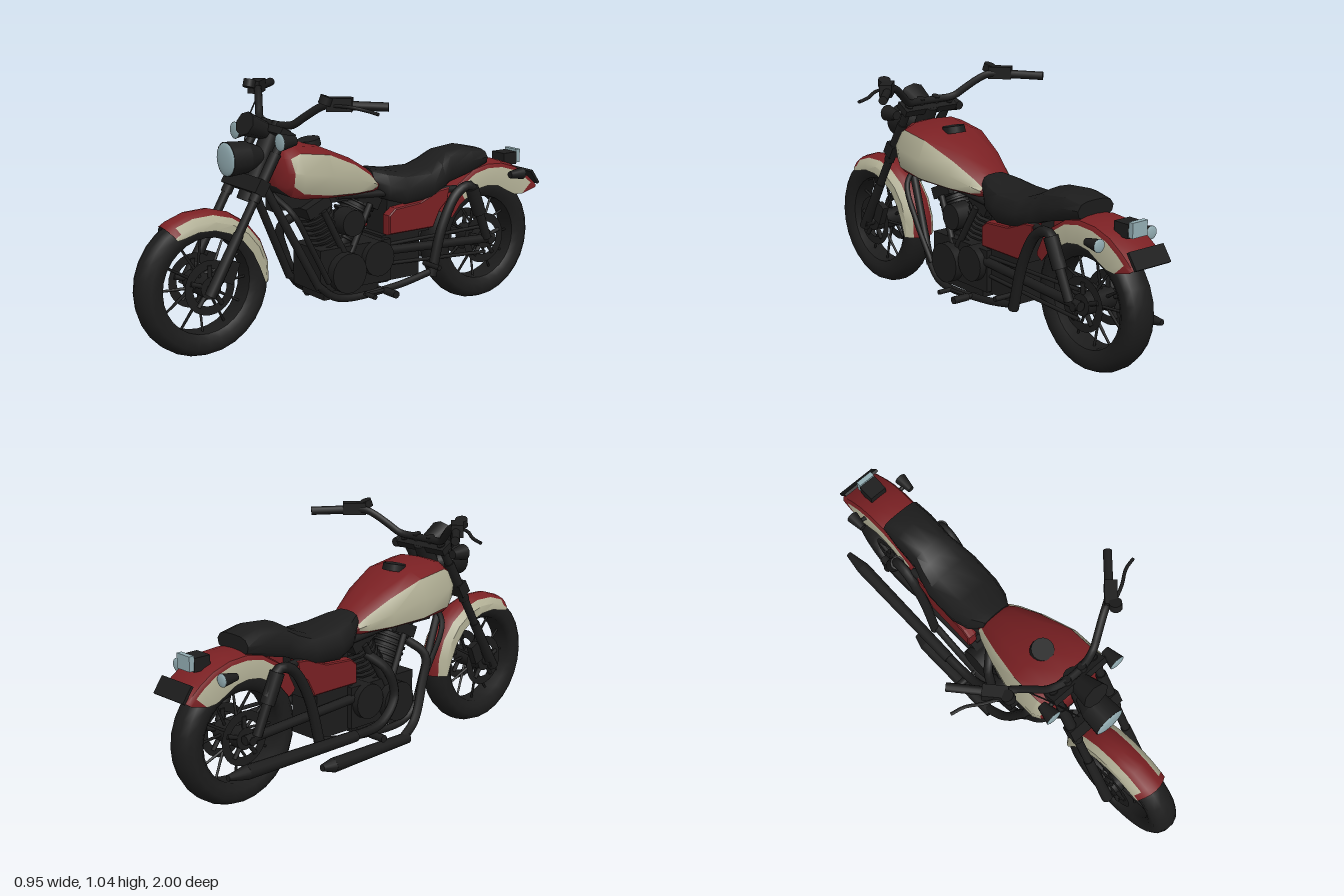
import * as THREE from 'three';
import { toCreasedNormals } from 'three/addons/utils/BufferGeometryUtils.js';

const mat = (name, color, side = THREE.FrontSide) => {
  const m = new THREE.MeshStandardMaterial({ color, side });
  m.name = name;
  return m;
};
const V = (p) => new THREE.Vector3(...p);

export function createModel() {
  const black = mat('black', 0x1c1c1c, THREE.DoubleSide);
  const red = mat('red', 0x7a2023);
  const cream = mat('cream', 0xb0ae94);
  const glass = mat('glass', 0x94aeb4);
  const root = new THREE.Group();
  root.name = 'motorcycle';

  const add = (name, geo, material, pos = [0, 0, 0], parent = root) => {
    const m = new THREE.Mesh(geo, material);
    m.name = name;
    m.position.set(...pos);
    parent.add(m);
    return m;
  };
  const box = (name, size, pos, material = black, rx = 0) => {
    const m = add(name, new THREE.BoxGeometry(...size), material, pos);
    m.rotation.x = rx;
    return m;
  };
  // straight bar from p (radius r1) to q (radius r2)
  const rod = (name, p, q, r1, r2 = r1, material = black, seg = 12, parent = root) => {
    const a = V(p), d = V(q).sub(a);
    const m = add(name, new THREE.CylinderGeometry(r2, r1, d.length(), seg), material, [0, 0, 0], parent);
    m.position.copy(a).addScaledVector(d, 0.5);
    m.quaternion.setFromUnitVectors(V([0, 1, 0]), d.normalize());
    return m;
  };
  const tube = (name, pts, r, seg = 24) => add(name,
    new THREE.TubeGeometry(new THREE.CatmullRomCurve3(pts.map(V)), seg, r, 8), black);
  // shallow domed lens facing +z (dir 1) or -z (dir -1)
  const dome = (name, pos, r, depth, dir) => {
    const m = add(name, new THREE.SphereGeometry(r, 18, 6, 0, Math.PI * 2, 0, Math.PI / 2), glass, pos);
    m.scale.y = depth / r;
    m.rotation.x = dir * Math.PI / 2;
  };
  const both = (fn) => [1, -1].forEach(fn);

  // skin rings running front to back; mats chosen per face by pick(i, j)
  const loft = (name, rings, closed, mats, pick = () => 0) => {
    const n = rings[0].length, lists = mats.map(() => []);
    for (let i = 0; i < rings.length - 1; i++) {
      for (let j = 0; j < (closed ? n : n - 1); j++) {
        const a = i * n + j, b = i * n + (j + 1) % n, c = b + n, d = a + n;
        lists[pick(i, j)].push(a, b, d, b, c, d);
      }
    }
    if (closed) {
      const e = (rings.length - 1) * n;
      for (let j = 1; j < n - 1; j++) lists[0].push(0, j + 1, j, e, e + j, e + j + 1);
    }
    const g = new THREE.BufferGeometry();
    g.setAttribute('position', new THREE.Float32BufferAttribute(rings.flat(2), 3));
    g.setIndex(lists.flat());
    let start = 0;
    lists.forEach((l, k) => { g.addGroup(start, l.length, k); start += l.length; });
    return add(name, toCreasedNormals(g, 0.75), mats);
  };
  // rounded closed section; hi and lo are the heights of the side panel edges
  const ring = ([z, w, top, bot, hi = 0.84, lo = 0.14]) => {
    const half = [[0, 1], [0.5, 0.97], [0.82, hi], [1, (hi + lo) / 2], [0.95, lo], [0.82, 0], [0, 0]];
    return [...half, ...half.slice(1, -1).reverse().map(([x, y]) => [-x, y])]
      .map(([x, y]) => [x * w, bot + y * (top - bot), z]);
  };

  // wheels: tyre, spokes, hub, discs
  const wheel = (name, z, r, w) => {
    const g = new THREE.Group();
    g.name = name;
    g.position.set(0, r + 0.004, z);
    root.add(g);
    const prof = [[r - 0.095, -0.7], [r - 0.07, -0.95], [r - 0.035, -1], [r - 0.012, -0.72], [r, -0.25],
      [r, 0.25], [r - 0.012, 0.72], [r - 0.035, 1], [r - 0.07, 0.95], [r - 0.095, 0.7], [r - 0.095, -0.7]];
    const t = add('tyre', new THREE.LatheGeometry(prof.map(([a, b]) => new THREE.Vector2(a, b * w)), 28), black, [0, 0, 0], g);
    t.rotation.z = Math.PI / 2;
    rod('hub', [-0.075, 0, 0], [0.075, 0, 0], 0.045, 0.045, black, 16, g);
    rod('axle', [-0.12, 0, 0], [0.12, 0, 0], 0.018, 0.018, black, 10, g);
    for (let i = 0; i < 12; i++) {
      const a = i * Math.PI / 6, s = Math.sin(a), c = Math.cos(a);
      rod('spoke', [(i % 2 ? 0.03 : -0.03), 0.03 * c, 0.03 * s], [0, (r - 0.09) * c, (r - 0.09) * s], 0.007, 0.005, black, 6, g);
    }
    both((s) => {
      const disc = add('brakeDisc', new THREE.RingGeometry(0.075, 0.112, 28), black, [s * 0.066, 0, 0], g);
      disc.rotation.y = Math.PI / 2;
      for (let i = 0; i < 5; i++) {
        const a = i * Math.PI * 0.4;
        rod('discArm', [s * 0.066, 0, 0], [s * 0.066, 0.09 * Math.cos(a), 0.09 * Math.sin(a)], 0.01, 0.01, black, 6, g);
      }
    });
  };
  wheel('frontWheel', 0.71, 0.29, 0.062);
  wheel('rearWheel', -0.693, 0.281, 0.068);

  // fenders: painted arch with a black lining; station = [degrees from top, radius, side depth]
  const fender = (name, cy, cz, w, edges, stations, pick) => {
    const rings = (inset) => stations.map(([deg, r, d]) => {
      const a = deg * Math.PI / 180;
      const side = [[1, d], ...edges.map(([x, o]) => [x, Math.min(o, d * 0.8) + inset])];
      return [...side.map(([x, o]) => [-x, o]), [0, inset], ...side.reverse()]
        .map(([x, o]) => [x * (w - inset), cy + (r - o) * Math.cos(a), cz + (r - o) * Math.sin(a)]);
    });
    loft(name, rings(0), false, [red, cream], pick);
    loft(name + 'Lining', rings(0.004), false, [black]);
  };
  fender('frontFender', 0.294, 0.71, 0.077, [[0.97, 0.042], [0.64, 0.018], [0.35, 0.005]],
    [[34, 0.307, 0.055], [28, 0.307, 0.065], [12, 0.305, 0.07], [-6, 0.303, 0.075], [-24, 0.302, 0.078],
      [-42, 0.302, 0.078], [-60, 0.302, 0.078], [-78, 0.302, 0.072], [-94, 0.3, 0.05]],
    (i, j) => ([0, 7].includes(j) || (i > 0 && [1, 6].includes(j)) ? 1 : 0));
  fender('rearFender', 0.285, -0.69, 0.096, [[1, 0.028], [0.9, 0.012], [0.5, 0.003]],
    [[58, 0.3, 0.06], [42, 0.32, 0.08], [34, 0.328, 0.09], [14, 0.344, 0.1], [0, 0.35, 0.105], [-14, 0.355, 0.112],
      [-28, 0.36, 0.125], [-40, 0.362, 0.12], [-48, 0.366, 0.095], [-54, 0.372, 0.03]],
    (i, j) => (i > 1 && i < 8 && [0, 7].includes(j) ? 1 : 0));

  // fuel tank, with teardrop cream side panels and a black underside
  loft('fuelTank', [[0.41, 0.1, 0.785, 0.66], [0.395, 0.15, 0.805, 0.64], [0.378, 0.175, 0.817, 0.624, 0.8, 0.24],
    [0.34, 0.189, 0.827, 0.613, 0.86, 0.12], [0.2, 0.186, 0.805, 0.6, 0.86, 0.07], [0.05, 0.147, 0.74, 0.588, 0.82, 0.07],
    [-0.05, 0.11, 0.68, 0.583, 0.72, 0.1], [-0.09, 0.088, 0.65, 0.58, 0.55, 0.25], [-0.12, 0.065, 0.62, 0.58]].map(ring), true, [red, cream, black],
  (i, j) => ([5, 6].includes(j) ? 2 : i > 1 && i < 7 && [2, 3, 8, 9].includes(j) ? 1 : 0));
  rod('fuelCap', [0, 0.79, 0.195], [0, 0.819, 0.2], 0.05, 0.047, black, 16);

  // two-step seat
  loft('seat', [[-0.08, 0.07, 0.67, 0.6], [-0.14, 0.108, 0.662, 0.535], [-0.22, 0.128, 0.647, 0.51], [-0.36, 0.13, 0.643, 0.52],
    [-0.43, 0.115, 0.67, 0.545], [-0.48, 0.1, 0.7, 0.57], [-0.6, 0.1, 0.71, 0.6], [-0.685, 0.092, 0.69, 0.625]].map(ring), true, [black]);

  // side covers sweeping up under the seat
  const cover = new THREE.Shape([[0.135, 0.395], [0.135, 0.47], [0.165, 0.495], [0.3, 0.505], [0.4, 0.545], [0.45, 0.55],
    [0.44, 0.5], [0.4, 0.465], [0.365, 0.395]].map(([a, b]) => new THREE.Vector2(a, b)));
  both((s) => {
    const g = new THREE.ExtrudeGeometry(cover, { depth: 0.02, bevelSize: 0.007, bevelThickness: 0.014, bevelSegments: 2 });
    const m = add('sideCover', g, red, [s > 0 ? 0.08 : -0.1, 0, 0]);
    m.rotation.y = Math.PI / 2;
  });
  box('batteryBox', [0.15, 0.18, 0.23], [0, 0.46, -0.26]);

  // forks and clamps
  const forkZ = (y) => 0.715 - (y - 0.3) * 0.583;
  both((s) => {
    rod('forkTube', [s * 0.105, 0.3, 0.715], [s * 0.105, 0.89, forkZ(0.89)], 0.018);
    rod('forkLower', [s * 0.105, 0.27, forkZ(0.27)], [s * 0.105, 0.5, forkZ(0.5)], 0.024, 0.021);
    rod('forkCover', [s * 0.105, 0.62, forkZ(0.62)], [s * 0.105, 0.8, forkZ(0.8)], 0.023);
    box('caliper', [0.03, 0.09, 0.05], [s * 0.085, 0.35, 0.63], black, -0.4);
  });
  box('lowerClamp', [0.26, 0.06, 0.05], [0, 0.675, 0.5], black, -0.53);
  box('upperClamp', [0.27, 0.03, 0.07], [0, 0.875, 0.385], black, -0.53);
  rod('steeringNeck', [0, 0.6, 0.5], [0, 0.88, 0.37], 0.04);

  // headlight, gauge and indicators
  rod('headlightShell', [0, 0.778, 0.588], [0, 0.778, 0.5], 0.07, 0.064, black, 20);
  rod('headlightBack', [0, 0.778, 0.5], [0, 0.778, 0.42], 0.064, 0.03, black, 20);
  dome('headlightLens', [0, 0.778, 0.588], 0.067, 0.012, 1);
  const gauge = rod('gauge', [0, 0.875, 0.41], [0, 0.912, 0.5], 0.045, 0.062, black, 8);
  gauge.scale.z = 0.8;
  const indicator = (name, x, y, z, r, dir) => {
    rod(name + 'Shell', [x, y, z - dir * 0.04], [x, y, z + dir * 0.03], r * 0.55, r, black, 14);
    dome(name + 'Lens', [x, y, z + dir * 0.03], r, 0.007, dir);
  };
  both((s) => {
    indicator('frontIndicator', s * 0.168, 0.855, 0.415, 0.035, 1);
    rod('frontIndicatorStem', [s * 0.1, 0.865, 0.39], [s * 0.168, 0.855, 0.405], 0.01);
    indicator('rearIndicator', s * 0.135, 0.572, -0.82, 0.027, -1);
    rod('rearIndicatorStem', [s * 0.08, 0.562, -0.81], [s * 0.135, 0.572, -0.815], 0.009);
  });

  // tail light and plate
  box('tailLight', [0.08, 0.055, 0.075], [0, 0.62, -0.865]);
  box('tailLens', [0.076, 0.06, 0.022], [0, 0.628, -0.913], glass);
  box('plate', [0.18, 0.012, 0.075], [0, 0.532, -0.974], black, -0.95);

  // handlebar, grips, controls and levers
  const bar = [[0.05, 0.9, 0.375], [0.12, 0.908, 0.355], [0.165, 0.942, 0.33], [0.215, 0.98, 0.3], [0.25, 0.998, 0.28], [0.3, 1, 0.25]];
  tube('handlebar', [...bar.map(([x, y, z]) => [-x, y, z]).reverse(), ...bar], 0.016, 40);
  both((s) => {
    rod('riser', [s * 0.04, 0.87, 0.39], [s * 0.04, 0.915, 0.375], 0.018);
    rod('grip', [s * 0.29, 1, 0.258], [s * 0.42, 0.995, 0.11], 0.018);
    const c = box('switchBox', [0.1, 0.052, 0.05], [s * 0.3, 1.004, 0.255]);
    c.rotation.y = s * 0.83;
    rod('reservoir', [s * 0.275, 1.005, 0.31], [s * 0.28, 1.036, 0.3], 0.026);
    tube('lever', [[s * 0.285, 1.0, 0.29], [s * 0.36, 1.0, 0.255], [s * 0.42, 0.99, 0.215], [s * 0.475, 0.982, 0.2]], 0.007, 10);
  });
  tube('brakeLine', [[-0.2, 0.97, 0.32], [-0.14, 0.89, 0.4], [-0.06, 0.72, 0.48]], 0.003);

  // frame, swingarm and rear shocks
  both((s) => {
    rod('downTube', [s * 0.05, 0.68, 0.455], [s * 0.11, 0.22, 0.225], 0.017);
    tube('cradleTube', [[s * 0.11, 0.23, 0.23], [s * 0.12, 0.165, 0.14], [s * 0.12, 0.165, -0.15], [s * 0.12, 0.2, -0.36]], 0.016, 20);
    tube('innerDownTube', [[s * 0.04, 0.62, 0.4], [s * 0.13, 0.55, 0.36], [s * 0.14, 0.4, 0.28], [s * 0.13, 0.24, 0.19]], 0.012);
    tube('rearArch', [[s * 0.125, 0.18, -0.35], [s * 0.125, 0.4, -0.41], [s * 0.125, 0.53, -0.49], [s * 0.125, 0.55, -0.56], [s * 0.12, 0.45, -0.62]], 0.022);
    rod('seatRail', [s * 0.06, 0.58, 0.1], [s * 0.1, 0.54, -0.5], 0.016);
    rod('swingarm', [s * 0.09, 0.32, -0.12], [s * 0.1, 0.29, -0.72], 0.02);
    rod('shockBody', [s * 0.125, 0.54, -0.57], [s * 0.12, 0.42, -0.62], 0.03);
    rod('shockRod', [s * 0.12, 0.42, -0.62], [s * 0.115, 0.3, -0.67], 0.02);
    rod('driveBelt', [0.08, 0.3 + s * 0.04, -0.1], [0.08, 0.285 + s * 0.06, -0.69], 0.008);
  });
  box('backbone', [0.06, 0.08, 0.5], [0, 0.585, 0.14]);

  // engine: crankcase, gearbox, covers and finned V of two cylinders
  box('crankcase', [0.2, 0.18, 0.36], [0, 0.28, 0.03]);
  box('gearbox', [0.15, 0.2, 0.2], [0, 0.28, -0.22]);
  box('sump', [0.16, 0.06, 0.28], [0, 0.18, 0.04]);
  rod('primaryCover', [-0.14, 0.265, 0.09], [0.14, 0.265, 0.09], 0.085, 0.085, black, 18);
  rod('gearCover', [-0.13, 0.3, -0.07], [0.13, 0.3, -0.07], 0.075, 0.075, black, 18);
  [[0.2, 'front'], [-0.06, 'rear']].forEach(([topZ, end]) => {
    const a = V([0, 0.33, 0.08]), b = V([0, 0.55, topZ]);
    const at = (t) => a.clone().lerp(b, t).toArray();
    rod(end + 'Cylinder', at(0), at(1), 0.06);
    for (let i = 0; i < 7; i++) rod(end + 'Fin', at(0.25 + i * 0.1), at(0.29 + i * 0.1), 0.08);
    box(end + 'Head', [0.15, 0.05, 0.12], at(0.98), black, (topZ - 0.08) * 3.5);
    both((s) => rod(end + 'Pushrod', [s * 0.095, 0.31, 0.07], [s * 0.08, 0.53, topZ * 0.9], 0.014));
  });
  rod('airCleaner', [0.05, 0.47, 0.06], [0.125, 0.47, 0.06], 0.06, 0.055, black, 16);

  // exhausts on one side: a short low muffler and a long high one
  tube('frontHeader', [[-0.07, 0.5, 0.2], [-0.125, 0.43, 0.26], [-0.145, 0.3, 0.22], [-0.17, 0.17, 0.15], [-0.188, 0.115, 0.06]], 0.02);
  rod('shortMuffler', [-0.188, 0.115, 0.09], [-0.19, 0.11, -0.34], 0.024, 0.03);
  rod('shortTip', [-0.19, 0.11, -0.34], [-0.19, 0.115, -0.4], 0.03, 0.014);
  tube('rearHeader', [[-0.07, 0.49, -0.04], [-0.135, 0.42, 0.02], [-0.15, 0.3, 0.05], [-0.165, 0.21, -0.04], [-0.175, 0.195, -0.22]], 0.02);
  rod('longMuffler', [-0.175, 0.195, -0.2], [-0.18, 0.2, -0.78], 0.024, 0.029);
  rod('longTip', [-0.18, 0.2, -0.78], [-0.185, 0.205, -0.875], 0.029, 0.012);

  // foot pegs and pedals
  both((s) => {
    rod('footPegStem', [s * 0.1, 0.165, -0.085], [s * 0.15, 0.165, -0.085], 0.01);
    rod('footPeg', [s * 0.15, 0.165, -0.085], [s * 0.225, 0.165, -0.085], 0.016);
  });
  rod('passengerPeg', [0.1, 0.235, -0.33], [0.205, 0.235, -0.33], 0.011);
  rod('shiftPedal', [0.15, 0.17, -0.08], [0.16, 0.17, 0.03], 0.007);
  rod('shiftPeg', [0.15, 0.17, 0.02], [0.22, 0.17, 0.02], 0.01);
  return root;
}
